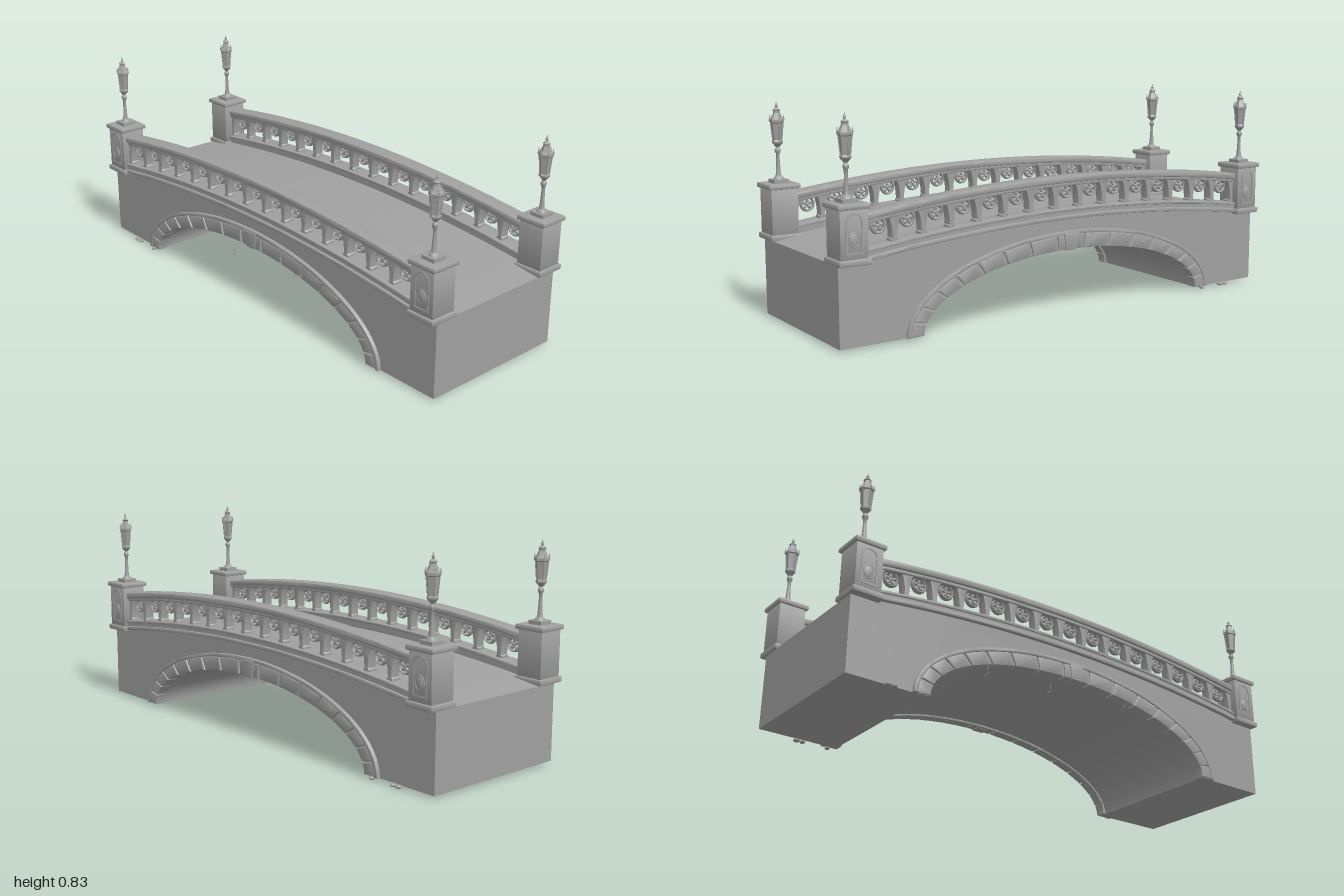
import * as THREE from 'three';
import { toCreasedNormals } from 'three/addons/utils/BufferGeometryUtils.js';

const stone = new THREE.MeshStandardMaterial({ color: 0xa0a0a0 });
stone.name = 'stone grey';

const rise = (x) => 0.06 * (1 - (x / 0.88) ** 2);
const deckY = (x) => 0.305 + 0.07 * (1 - (x / 0.99) ** 2);

function add(parent, name, geo, x = 0, y = 0, z = 0) {
  const m = new THREE.Mesh(geo, stone);
  m.name = name;
  m.position.set(x, y, z);
  parent.add(m);
  return m;
}
const box = (p, name, w, h, d, x, y, z) => add(p, name, new THREE.BoxGeometry(w, h, d), x, y, z);

// Extrudes a shape from z0 to z1, with an optional small bevel kept inside that depth
function slab(shape, z0, z1, bevel = 0) {
  const g = new THREE.ExtrudeGeometry(shape, {
    depth: z1 - z0 - 2 * bevel, bevelEnabled: bevel > 0, bevelSize: bevel,
    bevelThickness: bevel, bevelOffset: -bevel, bevelSegments: 2, curveSegments: 16,
  });
  g.translate(0, 0, z0 + bevel);
  return toCreasedNormals(g, 0.5);
}

// Bowed strip that follows the camber of the bridge
function bowedBand(y0, y1, z0, z1, bevel = 0) {
  const low = [], high = [];
  for (let i = 0; i <= 40; i++) {
    const x = -0.885 + (1.77 * i) / 40;
    low.push(new THREE.Vector2(x, y0 + rise(x)));
    high.unshift(new THREE.Vector2(x, y1 + rise(x)));
  }
  return slab(new THREE.Shape([...low, ...high]), z0, z1, bevel);
}

const onArch = (a, b, t) => new THREE.Vector2(a * Math.cos(t), 0.01 + b * Math.sin(t));

// Piece of elliptical ring between two angles
function ringPiece(a0, b0, a1, b1, t0, t1, steps) {
  const inner = [], outer = [];
  for (let i = 0; i <= steps; i++) {
    const t = t0 + ((t1 - t0) * i) / steps;
    inner.unshift(onArch(a0, b0, t));
    outer.push(onArch(a1, b1, t));
  }
  return new THREE.Shape([...outer, ...inner]);
}

function buildBody(root) {
  const pts = [];
  for (let i = 0; i <= 40; i++) {
    const x = 0.99 - (1.98 * i) / 40;
    pts.push(new THREE.Vector2(x, deckY(x)));
  }
  pts.push(new THREE.Vector2(-0.99, 0.01));
  for (let i = 0; i <= 56; i++) pts.push(onArch(0.67, 0.252, Math.PI * (1 - i / 56)));
  pts.push(new THREE.Vector2(0.99, 0.01));
  add(root, 'bridgeBody', slab(new THREE.Shape(pts), -0.312, 0.312));
}

// Everything on one long side, made for +z
function buildSide() {
  const side = new THREE.Group();
  // Arch stones with joints between them, and the moulding above
  const n = 17, gap = 0.006;
  for (let i = 0; i < n; i++) {
    const t0 = (Math.PI * i) / n + gap, t1 = (Math.PI * (i + 1)) / n - gap;
    add(side, 'archStone', slab(ringPiece(0.66, 0.243, 0.712, 0.3, t0, t1, 6), 0.28, 0.326, 0.004));
  }
  add(side, 'archBacking', slab(ringPiece(0.665, 0.248, 0.712, 0.3, 0, Math.PI, 60), 0.28, 0.319));
  add(side, 'archMoulding', slab(ringPiece(0.712, 0.301, 0.728, 0.315, 0, Math.PI, 60), 0.29, 0.327, 0.002));
  const key = new THREE.Shape([[-0.025, 0.25], [0.025, 0.25], [0.036, 0.318], [-0.036, 0.318]]
    .map(([x, y]) => new THREE.Vector2(x, y)));
  add(side, 'keystone', slab(key, 0.29, 0.33, 0.004));

  // Cornice, curb and handrail
  add(side, 'cornice', bowedBand(0.312, 0.328, 0.26, 0.328, 0.004));
  add(side, 'curb', bowedBand(0.322, 0.344, 0.255, 0.318));
  add(side, 'curbLip', bowedBand(0.342, 0.354, 0.25, 0.324, 0.003));
  add(side, 'railMoulding', bowedBand(0.441, 0.456, 0.262, 0.313, 0.003));
  add(side, 'handrail', bowedBand(0.453, 0.479, 0.252, 0.323, 0.007));

  // Flared balusters
  const pitch = 0.1175;
  const post = new THREE.Shape();
  post.moveTo(-0.014, 0).lineTo(0.014, 0).lineTo(0.014, 0.01).lineTo(0.009, 0.015);
  post.quadraticCurveTo(0.01, 0.06, 0.024, 0.094).lineTo(-0.024, 0.094);
  post.quadraticCurveTo(-0.01, 0.06, -0.009, 0.015).lineTo(-0.014, 0.01);
  const postGeo = slab(post, 0.268, 0.307, 0.002);
  for (let i = 0; i < 16; i++) {
    const x = (i - 7.5) * pitch;
    add(side, 'baluster', postGeo, x, 0.35 + rise(x), 0);
  }
  // Pierced roundels hanging below the rail
  const hoop = new THREE.TorusGeometry(0.026, 0.005, 6, 24);
  const petal = new THREE.SphereGeometry(0.009, 8, 6).scale(0.75, 1.25, 0.8);
  for (let i = 0; i < 15; i++) {
    const x = (i - 7) * pitch;
    const r = new THREE.Group();
    r.name = 'roundel';
    r.position.set(x, 0.419 + rise(x), 0.2875);
    add(r, 'roundelHoop', hoop).scale.z = 2;
    add(r, 'roundelBoss', new THREE.SphereGeometry(0.008, 10, 8));
    for (let k = 0; k < 5; k++) {
      const a = Math.PI / 2 + (k * Math.PI * 2) / 5;
      add(r, 'petal', petal, 0.014 * Math.cos(a), 0.014 * Math.sin(a)).rotation.z = a - Math.PI / 2;
    }
    side.add(r);
  }
  return side;
}

function buildPillar() {
  const p = new THREE.Group();
  const block = (name, w, d, y0, y1, b) => {
    const s = new THREE.Shape([[-1, -1], [1, -1], [1, 1], [-1, 1]]
      .map(([x, z]) => new THREE.Vector2((x * w) / 2, (z * d) / 2)));
    add(p, name, slab(s, y0, y1, b).rotateX(-Math.PI / 2));
  };
  block('pillarBase', 0.122, 0.122, 0.304, 0.327, 0.005);
  block('pillarShaft', 0.106, 0.106, 0.322, 0.503, 0.002);
  block('pillarCap', 0.124, 0.124, 0.5, 0.52, 0.005);
  // Framed medallion on the outer face
  const frame = new THREE.Shape();
  frame.moveTo(-0.033, 0.345).lineTo(0.033, 0.345).lineTo(0.033, 0.455);
  frame.absarc(0, 0.455, 0.033, 0, Math.PI);
  const hole = new THREE.Path();
  hole.moveTo(-0.027, 0.351).lineTo(0.027, 0.351).lineTo(0.027, 0.455);
  hole.absarc(0, 0.455, 0.027, 0, Math.PI);
  frame.holes.push(hole);
  add(p, 'panelFrame', slab(frame, 0.05, 0.056));
  add(p, 'medallion', new THREE.SphereGeometry(0.02, 16, 12).scale(0.9, 1.25, 0.3), 0, 0.396, 0.053);
  add(p, 'medallionRing', new THREE.TorusGeometry(0.02, 0.003, 6, 20).scale(1, 1.25, 1), 0, 0.396, 0.054);
  return p;
}

function buildLamp() {
  const lamp = new THREE.Group();
  lamp.name = 'streetLamp';
  const lathe = (name, pts, sides) => {
    const g = new THREE.LatheGeometry(pts.map(([r, y]) => new THREE.Vector2(r, y)), sides);
    add(lamp, name, toCreasedNormals(g, sides > 8 ? 0.7 : 0.2));
  };
  box(lamp, 'lampPlinth', 0.058, 0.014, 0.058, 0, 0.527, 0);
  lathe('lampPost', [[0.021, 0.532], [0.018, 0.54], [0.011, 0.546], [0.009, 0.56], [0.0065, 0.61],
    [0.007, 0.632], [0.011, 0.638], [0.011, 0.648], [0.006, 0.655], [0.009, 0.662]], 16);
  lathe('lanternCup', [[0, 0.655], [0.009, 0.659], [0.02, 0.672], [0.021, 0.678], [0.017, 0.684]], 6);
  lathe('lanternGlass', [[0.016, 0.68], [0.023, 0.752]], 6);
  lathe('lanternRoof', [[0.023, 0.748], [0.028, 0.752], [0.028, 0.761], [0.022, 0.768], [0.013, 0.786],
    [0.012, 0.793], [0.015, 0.797], [0.008, 0.803], [0.004, 0.807], [0.006, 0.813], [0.003, 0.818], [0, 0.83]], 6);
  // Lantern corner bars and crown spikes
  for (let k = 0; k < 6; k++) {
    const a = (k * Math.PI) / 3, s = Math.sin(a), c = Math.cos(a);
    const bar = new THREE.LineCurve3(new THREE.Vector3(0.017 * s, 0.68, 0.017 * c), new THREE.Vector3(0.024 * s, 0.754, 0.024 * c));
    add(lamp, 'lanternBar', new THREE.TubeGeometry(bar, 1, 0.0022, 5));
    add(lamp, 'crownSpike', new THREE.ConeGeometry(0.004, 0.024, 5), 0.026 * s, 0.77, 0.026 * c);
  }
  return lamp;
}

// Small tufts by the footings, leaves on the rails and hanging tendrils
function buildGrowth(root) {
  const blob = new THREE.SphereGeometry(1, 8, 6);
  for (const s of [-1, 1]) {
    for (const [x, w] of [[-0.83, 0.014], [-0.805, 0.01], [-0.7, 0.009]])
      add(root, 'footTuft', blob, x, 0.007, s * 0.322).scale.set(w, 0.007, 0.014);
  }
  for (const [x, z] of [[0.54, -0.29], [0.67, -0.3], [0.3, 0.275], [0.41, 0.285]])
    add(root, 'leaf', blob, x, 0.479 + rise(x), z).scale.set(0.008, 0.003, 0.006);
  for (const [x, y] of [[-0.13, 0.19], [-0.42, 0.18], [0.25, 0.23]]) {
    const pts = [[0.01, 0.02], [0.006, 0.005], [0.008, -0.008], [-0.006, -0.024]]
      .map(([dx, dy]) => new THREE.Vector3(x + dx, y + dy, 0.315));
    add(root, 'tendril', new THREE.TubeGeometry(new THREE.CatmullRomCurve3(pts), 10, 0.0012, 4));
  }
}

export function createModel() {
  const root = new THREE.Group();
  root.name = 'stoneBridge';
  buildBody(root);
  for (const s of [1, -1]) {
    const side = buildSide();
    side.name = s > 0 ? 'frontParapet' : 'backParapet';
    side.rotation.y = s > 0 ? 0 : Math.PI;
    root.add(side);
    for (const x of [-0.938, 0.938]) {
      const pillar = buildPillar();
      pillar.name = 'cornerPillar';
      pillar.add(buildLamp());
      pillar.position.set(x, 0, s * 0.284);
      pillar.rotation.y = side.rotation.y;
      root.add(pillar);
    }
  }
  buildGrowth(root);
  return root;
}
